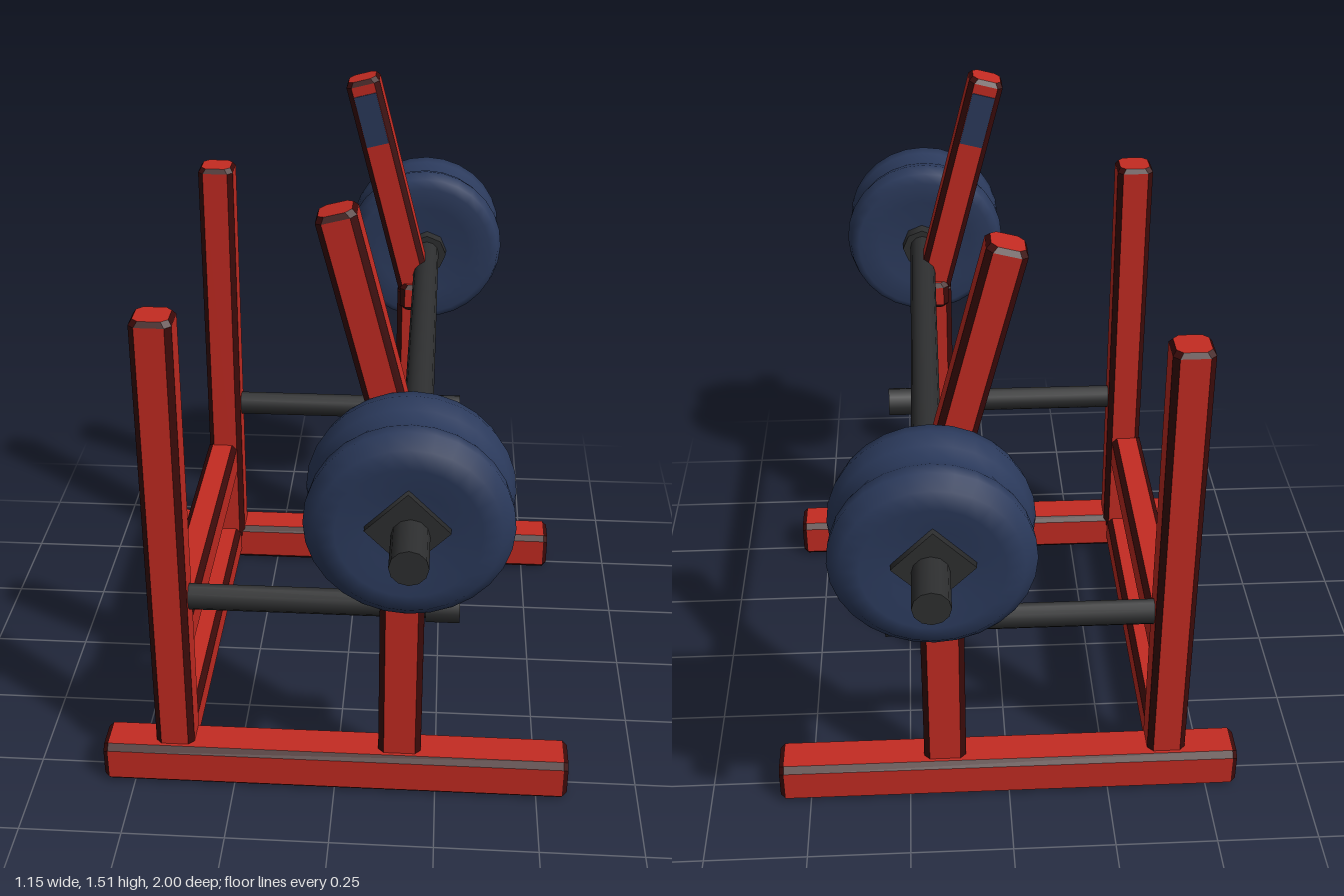
import * as THREE from 'three';

const material = (name, color) => {
  const m = new THREE.MeshStandardMaterial({ color });
  m.name = name;
  return m;
};

export function createModel() {
  const model = new THREE.Group();
  const red = material('redPaint', 0xc42b22);
  const edge = material('darkRedEdge', 0x3a0a09);
  const rubber = material('charcoal', 0x2e2f30);
  const navy = material('navy', 0x2b3a5c);
  const Y = new THREE.Vector3(0, 1, 0);

  // Square tube with chamfered corners: group 0 sides, 1 chamfers, 2 ends
  function tubeGeometry(length, w, d, c = 0.014) {
    const ring = (y, inset) => {
      const a = w / 2 - inset, b = d / 2 - inset;
      return [[a, b - c], [a - c, b], [c - a, b], [-a, b - c], [-a, c - b], [c - a, -b], [a - c, -b], [a, c - b]]
        .map(([x, z]) => [x, y, z]);
    };
    const h = length / 2;
    const rings = [ring(-h, 0.008), ring(0.012 - h, 0), ring(h - 0.012, 0), ring(h, 0.008)];
    const faces = [[], [], []];
    for (let r = 0; r < 3; r++) {
      for (let i = 0; i < 8; i++) {
        const j = (i + 1) % 8;
        const [p, q, s, t] = [rings[r][i], rings[r][j], rings[r + 1][j], rings[r + 1][i]];
        faces[r === 1 && i % 2 === 1 ? 0 : 1].push(p, s, q, p, t, s);
      }
    }
    for (let i = 1; i < 7; i++) {
      faces[2].push(rings[0][0], rings[0][i], rings[0][i + 1]);
      faces[2].push(rings[3][0], rings[3][i + 1], rings[3][i]);
    }
    const geometry = new THREE.BufferGeometry();
    let start = 0;
    faces.forEach((f, i) => {
      geometry.addGroup(start, f.length, i);
      start += f.length;
    });
    geometry.setAttribute('position', new THREE.Float32BufferAttribute(faces.flat(2), 3));
    geometry.computeVertexNormals();
    return geometry;
  }

  function place(mesh, name, from, to) {
    const a = new THREE.Vector3(...from), b = new THREE.Vector3(...to);
    mesh.name = name;
    mesh.position.copy(a).add(b).multiplyScalar(0.5);
    mesh.quaternion.setFromUnitVectors(Y, b.sub(a).normalize());
    model.add(mesh);
    return mesh;
  }

  function tube(name, from, to, w, d, end = red) {
    const length = new THREE.Vector3(...from).distanceTo(new THREE.Vector3(...to));
    return place(new THREE.Mesh(tubeGeometry(length, w, d), [red, edge, end]), name, from, to);
  }

  function rod(name, from, to, radius, sides = 12, squash = 1) {
    const length = new THREE.Vector3(...from).distanceTo(new THREE.Vector3(...to));
    const geometry = new THREE.CylinderGeometry(radius, radius, length, sides).scale(1, 1, squash);
    return place(new THREE.Mesh(geometry, rubber), name, from, to);
  }

  // Two mirrored side frames
  for (const s of [1, -1]) {
    const z = 0.5 * s;
    tube('foot', [-0.575, 0.055, 0.515 * s], [0.575, 0.055, 0.515 * s], 0.11, 0.11, rubber);
    tube('rearPost', [-0.397, 0.07, z], [-0.393, 1.255, z], 0.095, 0.095);
    tube('frontPost', [0.16, 0.07, z], [0.16, 0.92, z], 0.105, 0.095);
    const lean = tube('leaningUpright', [0.168, 0.87, z], [0.005, 1.505, z], 0.09, 0.09);
    tube('barRest', [0.165, 0.86, z], [0.165, 0.935, z], 0.1, 0.125);

    // Navy patch on the inner face of the upright
    const patch = new THREE.Mesh(new THREE.BoxGeometry(0.06, 0.14, 0.006), navy);
    patch.name = 'uprightPatch';
    patch.position.set(0, 0.22, -0.045 * s);
    lean.add(patch);

    // Safety rail with its end knob
    rod('safetyRail', [-0.37, 0.522, z], [0.25, 0.522, z], 0.034, 10, 0.75);
    rod('railKnob', [0.215, 0.522, z], [0.295, 0.522, z], 0.043, 8, 0.85);
  }

  // Rear cross members
  tube('lowerCrossMember', [-0.41, 0.065, -0.5], [-0.41, 0.065, 0.5], 0.1, 0.09);
  tube('upperCrossMember', [-0.405, 0.352, -0.49], [-0.405, 0.352, 0.49], 0.085, 0.1);

  // Barbell
  const bx = 0.185, by = 0.96;
  rod('barShaft', [bx, by + 0.004, -0.7], [bx, by + 0.004, 0.7], 0.034);
  const profile = [
    [0.02, 0.655], [0.13, 0.65], [0.19, 0.64], [0.212, 0.66], [0.222, 0.7], [0.212, 0.74],
    [0.2, 0.775], [0.214, 0.81], [0.217, 0.845], [0.19, 0.872], [0.15, 0.88], [0.09, 0.866], [0.02, 0.866],
  ].map(([r, y]) => new THREE.Vector2(r, y));
  for (const s of [1, -1]) {
    rod('barSleeve', [bx - 0.004, by - 0.004, 0.62 * s], [bx - 0.004, by - 0.004, s], 0.04);
    rod('innerCollar', [bx, by, 0.615 * s], [bx, by, 0.66 * s], 0.055, 8);
    rod('outerCollar', [bx - 0.01, by + 0.005, 0.85 * s], [bx - 0.01, by + 0.005, 0.884 * s], 0.088, 4);
    const plate = new THREE.Mesh(new THREE.LatheGeometry(profile, 28), navy);
    plate.name = 'weightPlates';
    plate.position.set(bx - 0.008, by - 0.003, 0);
    plate.rotation.x = s * Math.PI / 2;
    model.add(plate);
  }
  return model;
}
